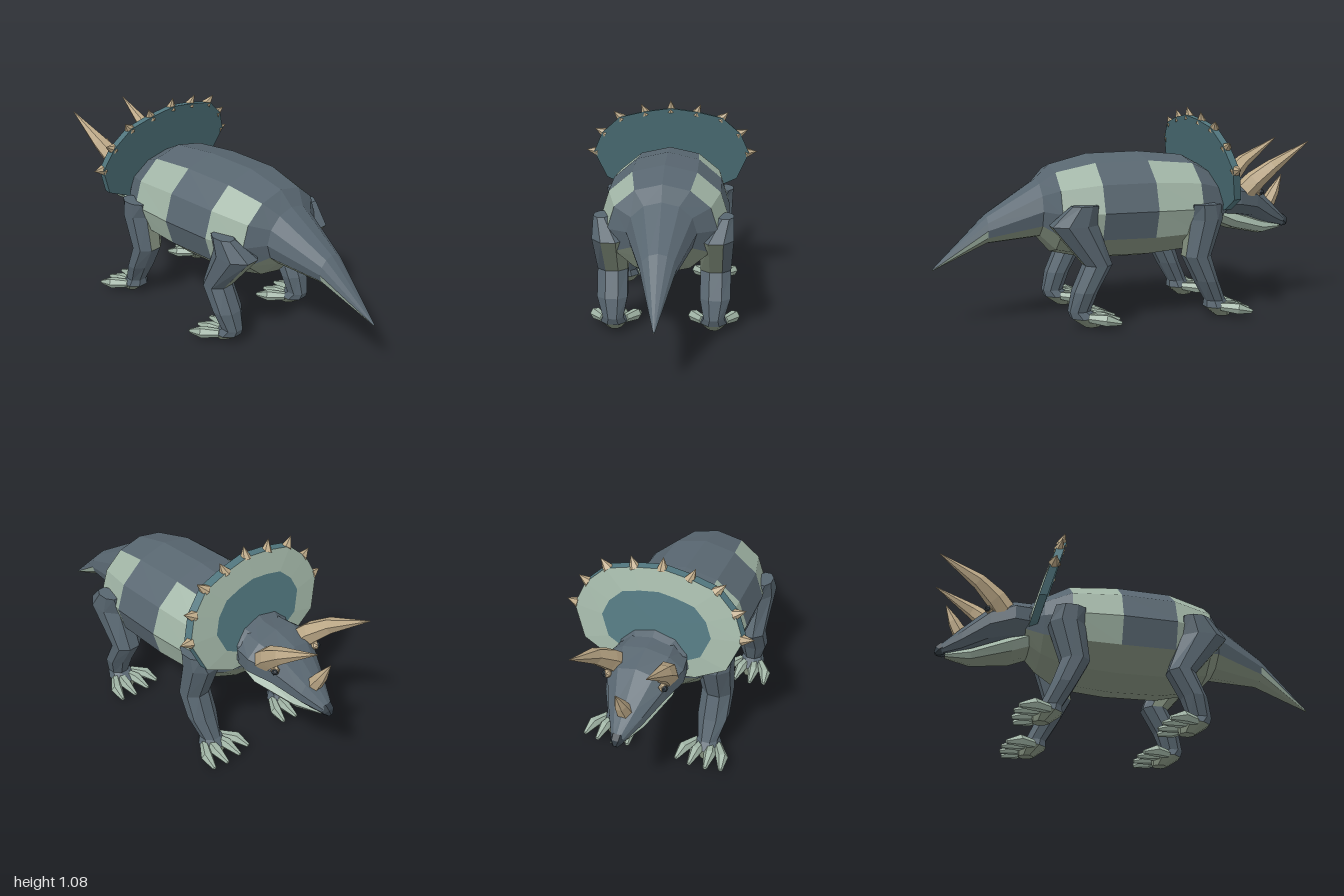
import * as THREE from 'three';

const mat = (name, color) => {
  const m = new THREE.MeshStandardMaterial({ color });
  m.name = name;
  return m;
};
const slate = mat('slate hide', 0x586670);
const pale = mat('pale green', 0xa0b4a5);
const belly = mat('belly green', 0x84917f);
const teal = mat('teal frill', 0x50757d);
const bone = mat('horn', 0xbfab89);
const dark = mat('dark beak', 0x333d45);
const V = (x, y, z) => new THREE.Vector3(x, y, z);

// Faceted skin over equal-length rings, capped at both ends; pick(row, column) gives the colour.
// Row -1 is the first cap and row rings.length - 1 is the last cap.
function loft(name, rings, pick) {
  const faces = new Map();
  const tri = (m, ...p) => {
    if (!faces.has(m)) faces.set(m, []);
    p.forEach(v => faces.get(m).push(v.x, v.y, v.z));
  };
  const n = rings[0].length, last = rings.length - 1;
  const middle = r => r.reduce((s, p) => s.add(p), V(0, 0, 0)).divideScalar(n);
  const c0 = middle(rings[0]), c1 = middle(rings[last]);
  for (let j = 0; j < n; j++) {
    const k = (j + 1) % n;
    tri(pick(-1, j), c0, rings[0][k], rings[0][j]);
    for (let i = 0; i < last; i++) {
      const a = rings[i][j], b = rings[i][k], c = rings[i + 1][k], d = rings[i + 1][j];
      tri(pick(i, j), a, b, c);
      tri(pick(i, j), a, c, d);
    }
    tri(pick(last, j), c1, rings[last][j], rings[last][k]);
  }
  const geo = new THREE.BufferGeometry(), all = [], mats = [];
  for (const [m, f] of faces) {
    geo.addGroup(all.length / 3, f.length / 3, mats.length);
    mats.push(m);
    for (const v of f) all.push(v);
  }
  geo.setAttribute('position', new THREE.Float32BufferAttribute(all, 3));
  geo.computeVertexNormals();
  const mesh = new THREE.Mesh(geo, mats.length > 1 ? mats : mats[0]);
  mesh.name = name;
  return mesh;
}

const around = (n, f) => Array.from({ length: n }, (_, j) => f(j * 2 * Math.PI / n));

// Upright ring for body and head, starting at the top: [z, centre y, rx, ry]
const upright = n => ([z, y, rx, ry]) =>
  around(n, a => V(Math.sin(a) * rx, y + Math.cos(a) * ry, z));

// Tapered limb through points with a radius at each
function taper(name, pts, radii, sides, material) {
  const rings = pts.map((p, i) => {
    const d = pts[Math.min(i + 1, pts.length - 1)].clone().sub(pts[Math.max(i - 1, 0)]).normalize();
    const u = V(1, 0, 0).addScaledVector(d, -d.x).normalize();
    const v = d.clone().cross(u);
    return around(sides, a => p.clone()
      .addScaledVector(u, Math.cos(a) * radii[i]).addScaledVector(v, Math.sin(a) * radii[i]));
  });
  return loft(name, rings, () => material);
}

function makeBody() {
  const rings = [
    [1.0, 0.29, 0.004, 0.004], [0.73, 0.485, 0.085, 0.075], [0.47, 0.58, 0.17, 0.15],
    [0.40, 0.575, 0.27, 0.225], [0.20, 0.577, 0.325, 0.273], [-0.08, 0.577, 0.33, 0.278],
    [-0.33, 0.575, 0.315, 0.255], [-0.46, 0.58, 0.24, 0.18], [-0.55, 0.6, 0.16, 0.11],
  ].map(upright(12));
  return loft('bodyAndTail', rings, (i, j) => {
    const s = Math.min(j, 11 - j);            // 0 at the spine, 5 at the belly
    if (s >= 4) return belly;
    if (i === 0 && s === 3) return pale;      // tail tip underside
    return (i === 3 || i === 5) && s >= 1 ? pale : slate;
  });
}

function makeHead() {
  const head = new THREE.Group();
  head.name = 'head';
  const skull = [
    [-0.45, 0.61, 0.17, 0.12], [-0.6, 0.607, 0.2, 0.115], [-0.72, 0.58, 0.155, 0.105],
    [-0.85, 0.5, 0.088, 0.07], [-0.95, 0.445, 0.03, 0.03],
  ].map(upright(10));
  const jaw = [
    [-0.45, 0.54, 0.13, 0.06], [-0.6, 0.475, 0.135, 0.055],
    [-0.8, 0.42, 0.07, 0.04], [-0.925, 0.415, 0.02, 0.012],
  ].map(upright(8));
  head.add(loft('skull', skull, () => slate));
  head.add(loft('jaw', jaw, (i, j) => (j > 2 && j < 5 ? belly : pale)));
  head.add(taper('beakTip', [V(0, 0.455, -0.93), V(0, 0.436, -0.955), V(0, 0.422, -0.972)],
    [0.036, 0.032, 0.012], 6, dark));
  head.add(taper('noseHorn', [V(0, 0.54, -0.855), V(0, 0.61, -0.895), V(0, 0.7, -0.94)],
    [0.04, 0.03, 0.002], 6, bone));
  for (const s of [1, -1]) {
    head.add(taper('browHorn', [V(s * 0.125, 0.635, -0.65), V(s * 0.145, 0.69, -0.7),
      V(s * 0.17, 0.765, -0.79), V(s * 0.18, 0.895, -0.998)], [0.058, 0.055, 0.04, 0.002], 6, bone));
    const lid = new THREE.Mesh(new THREE.IcosahedronGeometry(0.023, 0), bone);
    lid.name = 'eyelid';
    lid.position.set(s * 0.14, 0.627, -0.73);
    const eye = new THREE.Mesh(new THREE.IcosahedronGeometry(0.018, 0), dark);
    eye.name = 'eye';
    eye.position.set(s * 0.15, 0.627, -0.737);
    head.add(lid, eye);
  }
  return head;
}

function makeFrill() {
  const frill = new THREE.Group();
  frill.name = 'frill';
  const half = [[0.146, 1.02], [0.286, 0.986], [0.386, 0.895], [0.437, 0.78],
    [0.371, 0.623], [0.22, 0.55]];
  const outline = [[0, 1.04], ...half, [0, 0.53],
    ...half.slice().reverse().map(([x, y]) => [-x, y])];
  const rear = y => -0.355 - (1.04 - y) * 0.275;   // plane leaning back
  const ring = (scale, dz) => outline.map(([x, y]) => {
    const yy = 0.74 + (y - 0.74) * scale;
    return V(x * scale, yy, rear(yy) + dz);
  });
  const rings = [ring(1, 0), ring(0.99, -0.04), ring(0.64, -0.05)];
  frill.add(loft('shield', rings, i => (i === 1 ? pale : teal)));
  // Spikes along the upper rim
  const up = V(0, 1, 0);
  outline.forEach(([x, y], i) => {
    if (i > 4 && i < 10) return;
    const dir = V(x, (y - 0.72) * 1.1, 0).normalize();
    dir.z = dir.y * 0.27;
    dir.normalize();
    const spike = new THREE.Mesh(new THREE.ConeGeometry(0.03, 0.065, 6).toNonIndexed(), bone);
    spike.geometry.computeVertexNormals();
    spike.name = 'frillSpike';
    spike.quaternion.setFromUnitVectors(up, dir);
    spike.position.set(x, y, rear(y) - 0.022).addScaledVector(dir, 0.014);
    frill.add(spike);
  });
  return frill;
}

// Leg rings run downward: [y, z, x, rx, rz]
function makeLeg(name, rows, s) {
  const leg = new THREE.Group();
  leg.name = name;
  const rings = rows.map(([y, z, x, rx, rz]) =>
    around(8, a => V(s * x + Math.cos(a + Math.PI / 8) * rx, y, z + Math.sin(a + Math.PI / 8) * rz)));
  leg.add(loft('limb', rings, (i, j) => {
    if (i >= rows.length - 2) return belly;                 // sole
    const a = (j + 1) * Math.PI / 4;
    const inner = -s * Math.cos(a) + Math.sin(a) > 0.9;     // inner rear of the thigh
    return i === 1 && inner ? belly : slate;
  }));
  const [, z, x] = rows[rows.length - 1];
  for (const t of [-1, -0.36, 0.36, 1]) {
    const reach = 0.14 - 0.025 * Math.abs(t), cx = s * x;
    leg.add(taper('toe', [V(cx + t * 0.055, 0.06, z + 0.03), V(cx + t * 0.105, 0.055, z - 0.045),
      V(cx + t * 0.12, 0.038, z - reach)], [0.022, 0.031, 0.011], 6, pale));
  }
  return leg;
}

export function createModel() {
  const model = new THREE.Group();
  model.name = 'hornedDinosaur';
  model.add(makeBody(), makeHead(), makeFrill());
  const hind = [
    [0.62, 0.30, 0.305, 0.045, 0.07], [0.52, 0.345, 0.26, 0.095, 0.125], [0.32, 0.225, 0.262, 0.083, 0.075],
    [0.19, 0.29, 0.26, 0.083, 0.066], [0.09, 0.318, 0.255, 0.056, 0.058],
    [0.055, 0.285, 0.255, 0.072, 0.08], [0.004, 0.25, 0.255, 0.035, 0.04],
  ];
  const fore = [
    [0.6, -0.345, 0.305, 0.05, 0.08], [0.52, -0.355, 0.26, 0.095, 0.095], [0.33, -0.31, 0.262, 0.083, 0.076],
    [0.2, -0.365, 0.26, 0.083, 0.064], [0.09, -0.42, 0.255, 0.056, 0.056],
    [0.055, -0.435, 0.255, 0.072, 0.075], [0.004, -0.465, 0.255, 0.035, 0.04],
  ];
  for (const s of [1, -1]) {
    model.add(makeLeg('hindLeg', hind, s), makeLeg('foreLeg', fore, s));
  }
  return model;
}
